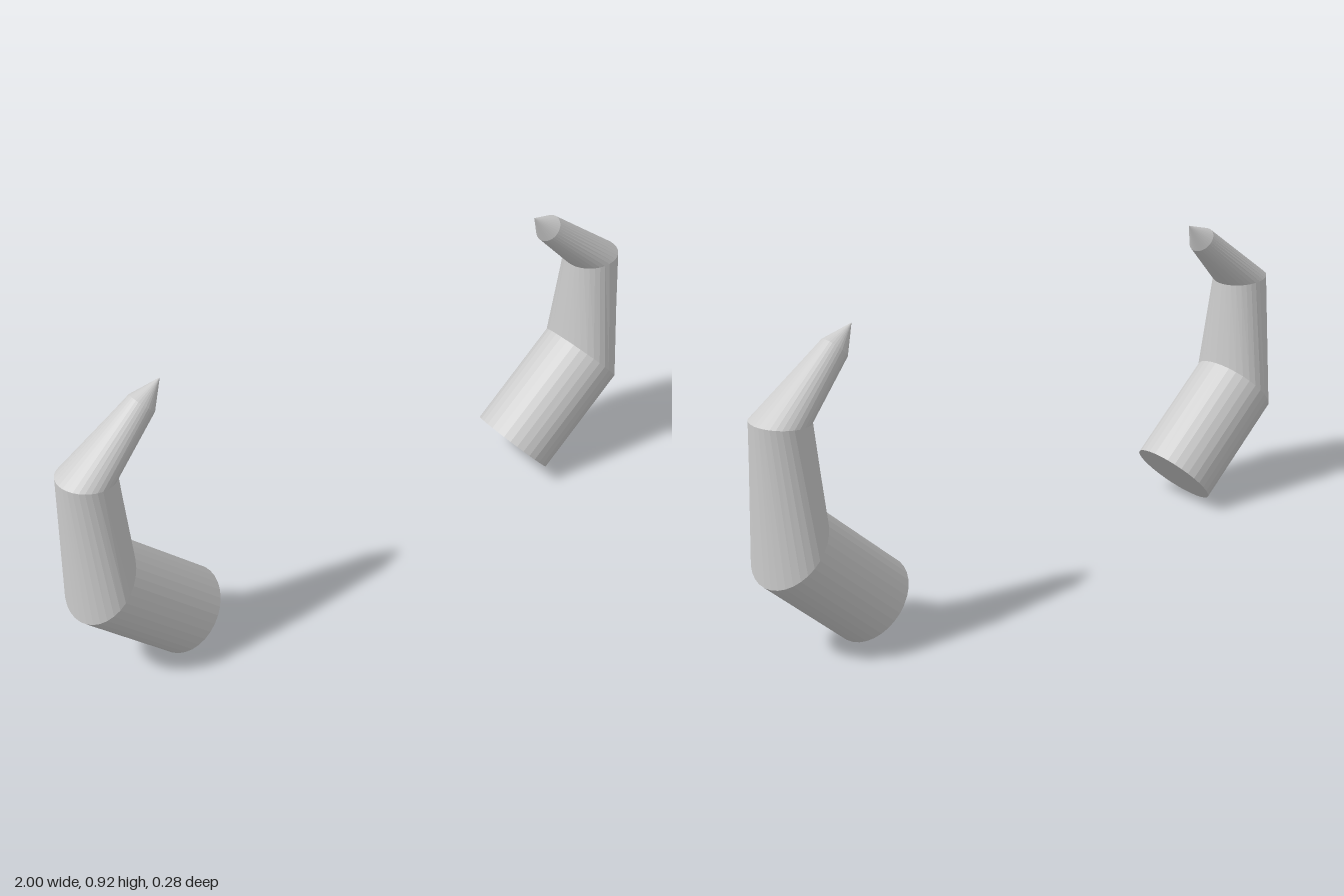
import * as THREE from 'three';

const SIDES = 32;

// Cross-sections from root to tip: inner edge, outer edge, centre z, half depth, lean of the depth axis
const RINGS = [
  { inner: [0.548, 0.195], outer: [0.73, 0.004], z: -0.01, depth: 0.131, lean: -0.035 },
  { inner: [0.812, 0.437], outer: [0.992, 0.248], z: 0.003, depth: 0.131, lean: 0 },
  { inner: [0.83, 0.698], outer: [1.0, 0.714], z: 0.001, depth: 0.084, lean: 0 },
  { inner: [0.698, 0.833], outer: [0.757, 0.894], z: 0, depth: 0.041, lean: 0 },
];
const TIP = [0.667, 0.92, 0];

function ringPoint(r, i) {
  const a = (i / SIDES) * Math.PI * 2;
  const c = Math.cos(a), s = Math.sin(a) * r.depth;
  const mid = (k) => (r.inner[k] + r.outer[k]) / 2;
  const half = (k) => (r.outer[k] - r.inner[k]) / 2;
  return [mid(0) + half(0) * c + s * r.lean, mid(1) + half(1) * c + s * r.lean, r.z + s];
}

// Faceted horn: flat root cap, lofted bent sections, pointed tip
function hornGeometry() {
  const pos = [];
  const tri = (a, b, c) => pos.push(...a, ...b, ...c);
  const root = RINGS[0];
  const rootCentre = [(root.inner[0] + root.outer[0]) / 2, (root.inner[1] + root.outer[1]) / 2, root.z];
  const last = RINGS[RINGS.length - 1];
  for (let i = 0; i < SIDES; i++) {
    tri(rootCentre, ringPoint(root, i), ringPoint(root, i + 1));
    for (let k = 0; k < RINGS.length - 1; k++) {
      const a = ringPoint(RINGS[k], i), b = ringPoint(RINGS[k], i + 1);
      const c = ringPoint(RINGS[k + 1], i + 1), d = ringPoint(RINGS[k + 1], i);
      tri(a, c, b);
      tri(a, d, c);
    }
    tri(ringPoint(last, i), TIP, ringPoint(last, i + 1));
  }
  const geo = new THREE.BufferGeometry();
  geo.setAttribute('position', new THREE.Float32BufferAttribute(pos, 3));
  geo.computeVertexNormals();
  return geo;
}

export function createModel() {
  const group = new THREE.Group();
  group.name = 'hornPair';
  const material = new THREE.MeshStandardMaterial({ color: 0xcccccc });
  material.name = 'horn grey';
  const geometry = hornGeometry();

  // The second horn is the first turned half round
  for (const [name, turn] of [['leftHorn', 0], ['rightHorn', Math.PI]]) {
    const horn = new THREE.Mesh(geometry, material);
    horn.name = name;
    horn.rotation.y = turn;
    group.add(horn);
  }
  return group;
}
